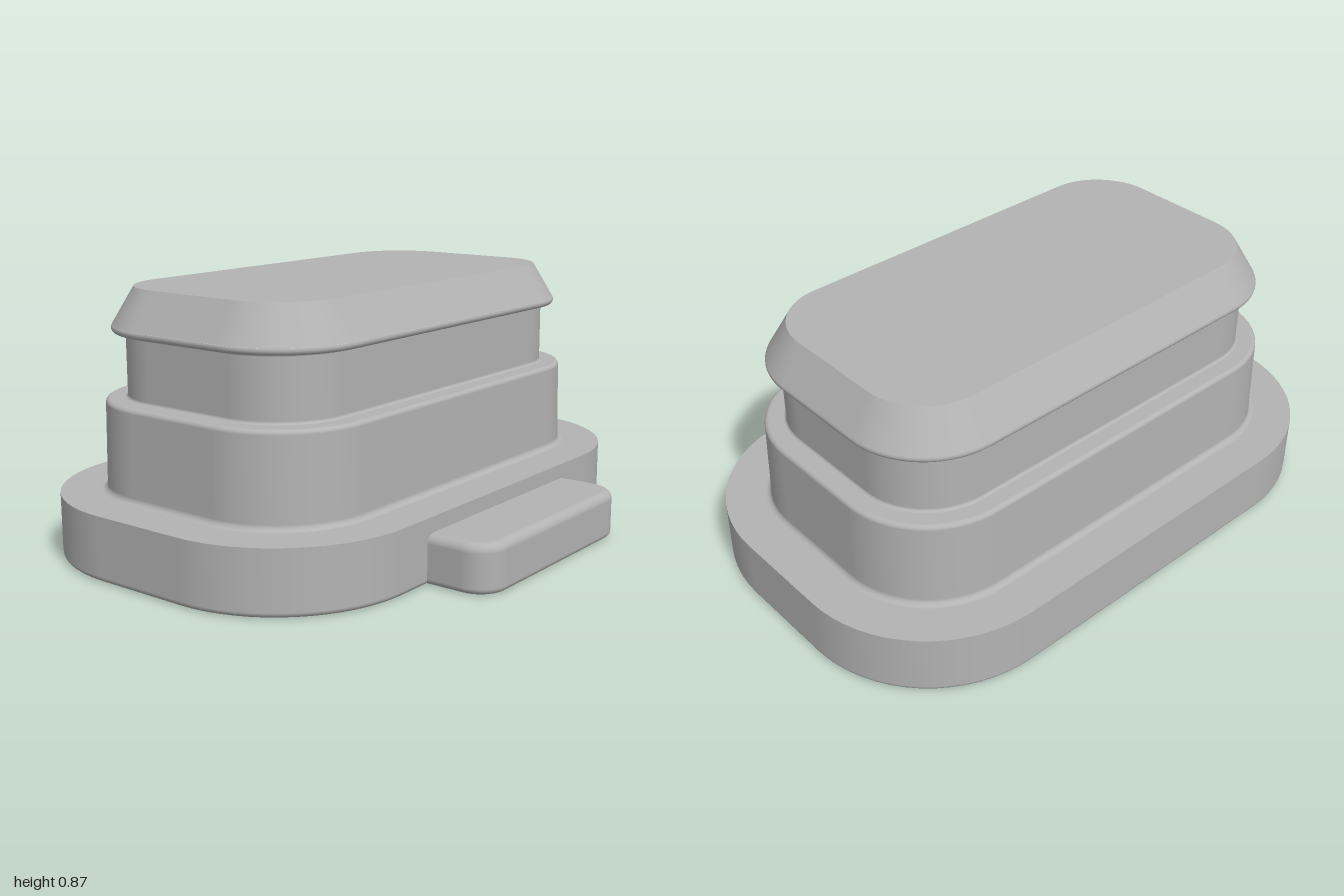
import * as THREE from 'three';

const CORNER_STEPS = 16;

// Profile pieces: lists of { r, y, nr, ny } with true normals; s = 0 collapses the ring to its centre.
function line(r0, y0, r1, y1) {
  const len = Math.hypot(r1 - r0, y1 - y0);
  const nr = (y1 - y0) / len, ny = (r0 - r1) / len;
  return [{ r: r0, y: y0, nr, ny, s: 1 }, { r: r1, y: y1, nr, ny, s: 1 }];
}
function arc(cr, cy, rad, from, to) {
  const sign = to > from ? 1 : -1; // convex edge or concave fillet
  return Array.from({ length: 7 }, (_, i) => {
    const a = THREE.MathUtils.degToRad(from + (to - from) * i / 6);
    const c = Math.cos(a), n = Math.sin(a);
    return { r: cr + rad * c, y: cy + rad * n, nr: sign * c, ny: sign * n, s: 1 };
  });
}
function cap(r, y, up) {
  const rim = { r, y, nr: 0, ny: up, s: 1 }, centre = { r: 0, y, nr: 0, ny: up, s: 0 };
  return up > 0 ? [rim, centre] : [centre, rim];
}

// Sweeps the profile round a rectangle whose corners it rounds by r.
function sweepRounded(halfX, halfZ, pieces) {
  const outline = [];
  for (let q = 0; q < 4; q++) {
    const sx = q === 0 || q === 3 ? 1 : -1, sz = q < 2 ? 1 : -1;
    for (let i = 0; i <= CORNER_STEPS; i++) {
      const a = (q + i / CORNER_STEPS) * Math.PI / 2;
      outline.push({ x: sx * halfX, z: sz * halfZ, c: Math.cos(a), n: Math.sin(a) });
    }
  }
  const count = outline.length, pos = [], nor = [], idx = [];
  for (const piece of pieces) {
    piece.forEach((p, k) => {
      const start = pos.length / 3;
      for (const o of outline) {
        pos.push(o.x * p.s + o.c * p.r, p.y, o.z * p.s + o.n * p.r);
        nor.push(o.c * p.nr, p.ny, o.n * p.nr);
      }
      if (k === 0) return;
      for (let i = 0; i < count; i++) {
        const j = (i + 1) % count, b = start - count;
        idx.push(b + i, start + i, b + j, b + j, start + i, start + j);
      }
    });
  }
  const g = new THREE.BufferGeometry();
  g.setAttribute('position', new THREE.Float32BufferAttribute(pos, 3));
  g.setAttribute('normal', new THREE.Float32BufferAttribute(nor, 3));
  g.setIndex(idx);
  return g;
}

export function createModel() {
  const group = new THREE.Group();
  group.name = 'plug';
  const grey = new THREE.MeshStandardMaterial({ color: 0xb3b3b3 });
  grey.name = 'grey';

  const add = (name, geometry, x) => {
    const mesh = new THREE.Mesh(geometry, grey);
    mesh.name = name;
    mesh.position.x = x;
    group.add(mesh);
  };
  const addTier = (name, pieces) => add(name, sweepRounded(0.17, 0.535, pieces), -0.11);

  // Wide base flange
  addTier('baseFlange', [
    cap(0.447, 0, -1),
    arc(0.447, 0.018, 0.018, -90, 0),
    line(0.465, 0.018, 0.465, 0.21),
    line(0.465, 0.21, 0.335, 0.21),
  ]);
  // Body with a filleted foot and a softened shoulder
  addTier('body', [
    arc(0.335, 0.23, 0.02, -90, -180),
    line(0.315, 0.23, 0.31, 0.495),
    arc(0.295, 0.495, 0.015, 0, 90),
    line(0.295, 0.51, 0.25, 0.51),
  ]);
  // Narrow neck
  addTier('neck', [
    arc(0.25, 0.52, 0.01, -90, -180),
    line(0.24, 0.52, 0.24, 0.71),
    arc(0.25, 0.71, 0.01, 180, 90),
  ]);
  // Tapered retaining head with a rounded lip
  addTier('head', [
    line(0.25, 0.72, 0.27, 0.72),
    arc(0.27, 0.735, 0.015, -90, 31),
    line(0.283, 0.743, 0.21, 0.865),
    cap(0.21, 0.865, 1),
  ]);

  // Pull tab, its inner end trimmed just inside the base
  const tabX = 0.5225;
  const tab = sweepRounded(0.1225, 0.315, [
    cap(0.08, 0, -1),
    arc(0.08, 0.02, 0.02, -90, 0),
    line(0.1, 0.02, 0.1, 0.13),
    arc(0.07, 0.13, 0.03, 0, 90),
    cap(0.07, 0.16, 1),
  ]);
  const p = tab.attributes.position;
  for (let i = 0; i < p.count; i++) p.setX(i, Math.max(p.getX(i), 0.505 - tabX));
  add('pullTab', tab, tabX);

  return group;
}
